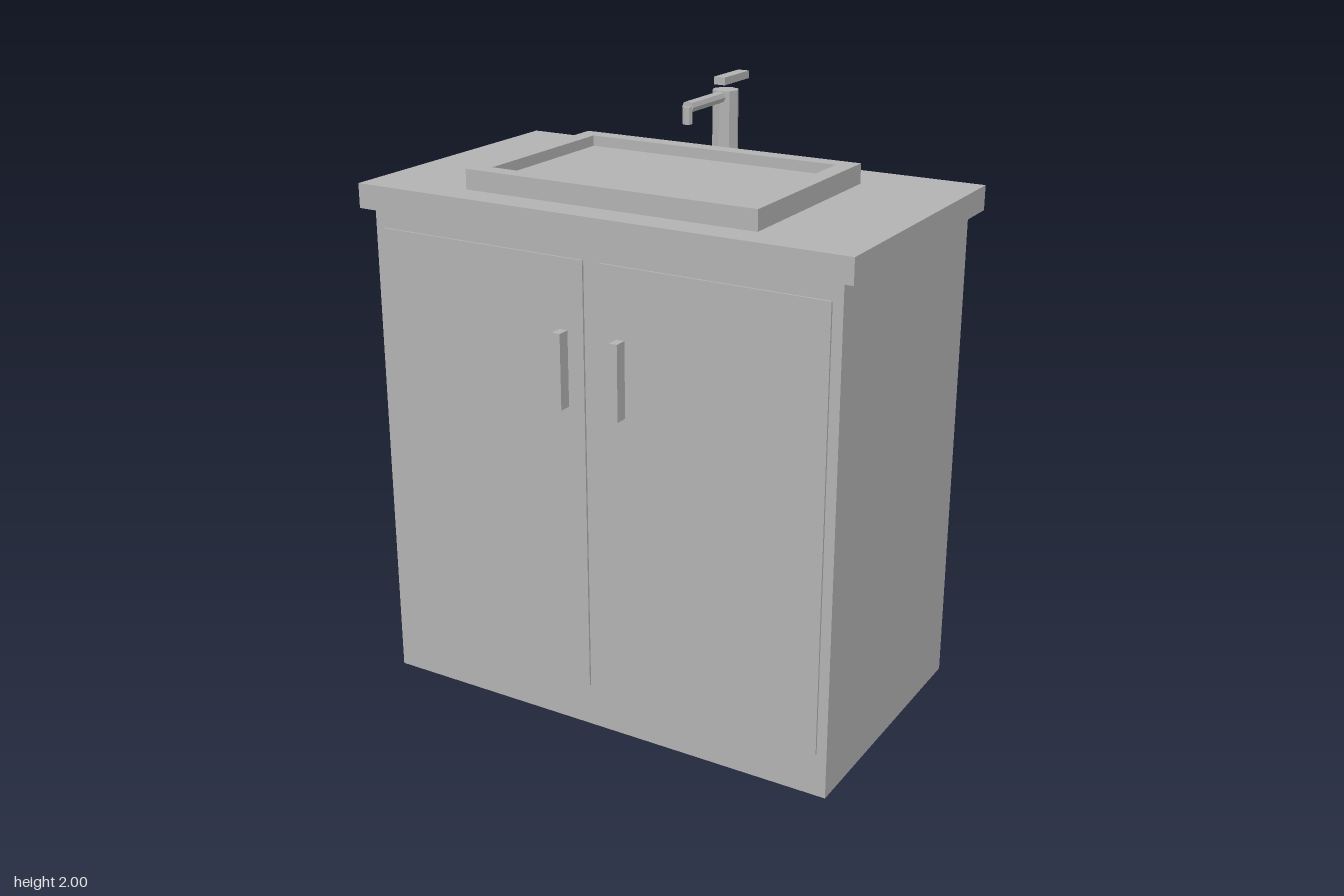
import * as THREE from 'three';

export function createModel() {
  const model = new THREE.Group();
  model.name = 'vanityUnit';
  const grey = new THREE.MeshStandardMaterial({ color: 0xb2b2b2 });
  grey.name = 'plain grey';
  grey.flatShading = true;

  const add = (name, geometry, parent = model) => {
    const mesh = new THREE.Mesh(geometry, grey);
    mesh.name = name;
    parent.add(mesh);
    return mesh;
  };
  // Box given by its lower and upper limits on each axis
  const box = (name, [x0, x1], [y0, y1], [z0, z1], parent) => {
    const mesh = add(name, new THREE.BoxGeometry(x1 - x0, y1 - y0, z1 - z0), parent);
    mesh.position.set((x0 + x1) / 2, (y0 + y1) / 2, (z0 + z1) / 2);
    return mesh;
  };

  // Cabinet and countertop
  box('cabinet', [-0.813, 0.813], [0, 1.63], [-0.467, 0.45]);
  box('countertop', [-0.853, 0.853], [1.63, 1.71], [-0.497, 0.478]);

  // Pair of thin doors with bar handles
  for (const [side, s] of [['left', 1], ['right', -1]]) {
    const door = new THREE.Group();
    door.name = side + 'Door';
    model.add(door);
    const panel = box('doorPanel', [-0.375, 0.375], [0.145, 1.57], [0.45, 0.457], door);
    panel.position.x = s * 0.405;
    const handle = box('doorHandle', [-0.014, 0.014], [1.1, 1.345], [0.457, 0.499], door);
    handle.position.x = s * 0.101;
  }

  // Basin: raised rectangular rim with a shallow floor
  const basin = new THREE.Group();
  basin.name = 'basin';
  model.add(basin);
  const rect = (Type, w, d) => new Type([
    new THREE.Vector2(-w, -d), new THREE.Vector2(w, -d),
    new THREE.Vector2(w, d), new THREE.Vector2(-w, d),
  ]);
  const rimShape = rect(THREE.Shape, 0.508, 0.345);
  rimShape.holes.push(rect(THREE.Path, 0.449, 0.286));
  const rimGeometry = new THREE.ExtrudeGeometry(rimShape, { depth: 0.065, bevelEnabled: false });
  rimGeometry.rotateX(-Math.PI / 2);
  add('basinRim', rimGeometry, basin).position.set(0, 1.71, 0.03);
  box('basinFloor', [-0.449, 0.449], [1.71, 1.74], [-0.256, 0.316], basin);

  // Faucet: octagonal column, spout and nozzle, with a flat lever above
  const faucet = new THREE.Group();
  faucet.name = 'faucet';
  model.add(faucet);
  const rod = (name, radius, length) =>
    add(name, new THREE.CylinderGeometry(radius, radius, length, 8), faucet);
  rod('faucetColumn', 0.044, 0.245).position.set(0, 1.8325, -0.358);
  const spout = rod('faucetSpout', 0.02, 0.247);
  spout.rotation.x = Math.PI / 2;
  spout.position.set(0, 1.935, -0.2345);
  rod('faucetNozzle', 0.016, 0.055).position.set(0, 1.91, -0.111);
  box('faucetLever', [-0.02, 0.02], [1.975, 2], [-0.48, -0.315], faucet);

  return model;
}
